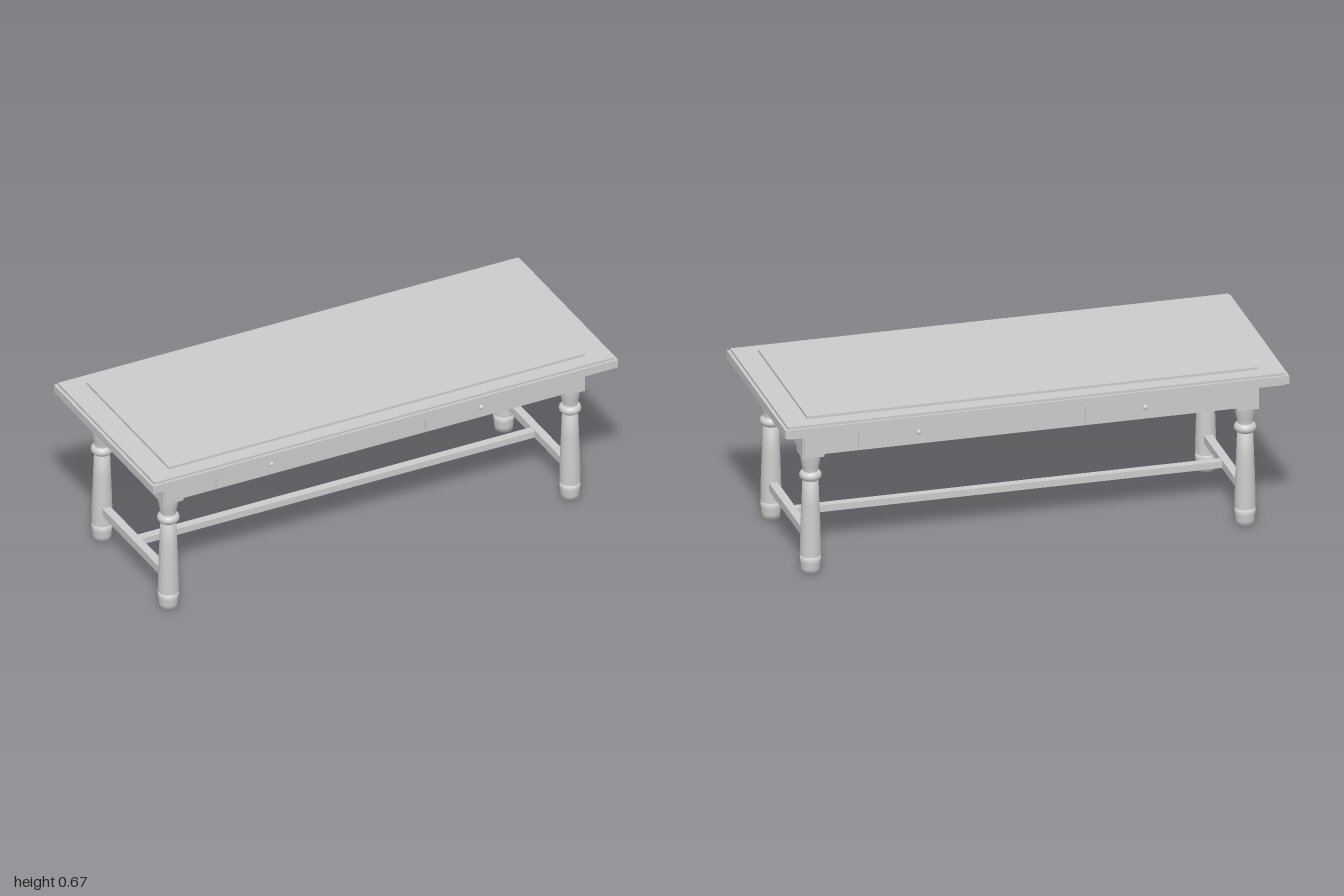
import * as THREE from 'three';

export function createModel() {
  const table = new THREE.Group();
  table.name = 'table';
  const paint = new THREE.MeshStandardMaterial({ color: 0xcccccc });
  paint.name = 'plain grey';

  function add(name, geometry, x, y, z) {
    const mesh = new THREE.Mesh(geometry, paint);
    mesh.name = name;
    mesh.position.set(x, y, z);
    table.add(mesh);
    return mesh;
  }
  // Box centred on x and z, given by its bottom and top heights
  function slab(name, width, bottom, top, depth, x = 0, z = 0) {
    return add(name, new THREE.BoxGeometry(width, top - bottom, depth), x, (bottom + top) / 2, z);
  }

  // Table top: core, projecting edge band and raised panel
  slab('topCore', 1.976, 0.61, 0.661, 0.808);
  slab('topEdge', 2, 0.618, 0.651, 0.827);
  slab('topPanel', 1.79, 0.655, 0.671, 0.69);

  // Solid apron under the top
  slab('apron', 1.796, 0.5, 0.604, 0.65);

  // Turned leg sections; each is a separate profile so its ends stay crisp
  const points = list => list.map(([r, y]) => new THREE.Vector2(r, y));
  const turned = list => new THREE.LatheGeometry(points(list), 32);
  const foot = turned([[0, 0], [0.035, 0], [0.037, 0.02], [0.0395, 0.045], [0.041, 0.07], [0, 0.07]]);
  const shaft = turned([[0.0405, 0.07], [0.04, 0.13], [0.038, 0.2], [0.035, 0.28], [0.031, 0.38], [0, 0.38]]);
  const neck = turned([[0.029, 0.38], [0.029, 0.42], [0.033, 0.44], [0.038, 0.465], [0.041, 0.49]]);
  const ring = new THREE.TorusGeometry(0.0245, 0.019, 16, 32).rotateX(Math.PI / 2);

  const legX = 0.863, legZ = 0.277;
  for (const sx of [-1, 1]) {
    for (const sz of [-1, 1]) {
      const x = sx * legX, z = sz * legZ;
      slab('legBlock', 0.086, 0.487, 0.61, 0.087, x, z);
      add('legFoot', foot, x, 0, z);
      add('legShaft', shaft, x, 0, z);
      add('legNeck', neck, x, 0, z);
      add('legRing', ring, x, 0.401, z);

      // Drawer front with a round knob, on both long sides
      slab('drawerFront', 0.47, 0.512, 0.59, 0.012, sx * 0.45, sz * 0.326);
      add('drawerKnob', new THREE.SphereGeometry(0.01, 20, 14), sx * 0.45, 0.553, sz * 0.337);
    }
    slab('sideStretcher', 0.034, 0.122, 0.155, 0.49, sx * legX, 0);
  }
  slab('longStretcher', 1.7, 0.125, 0.152, 0.034);

  return table;
}
